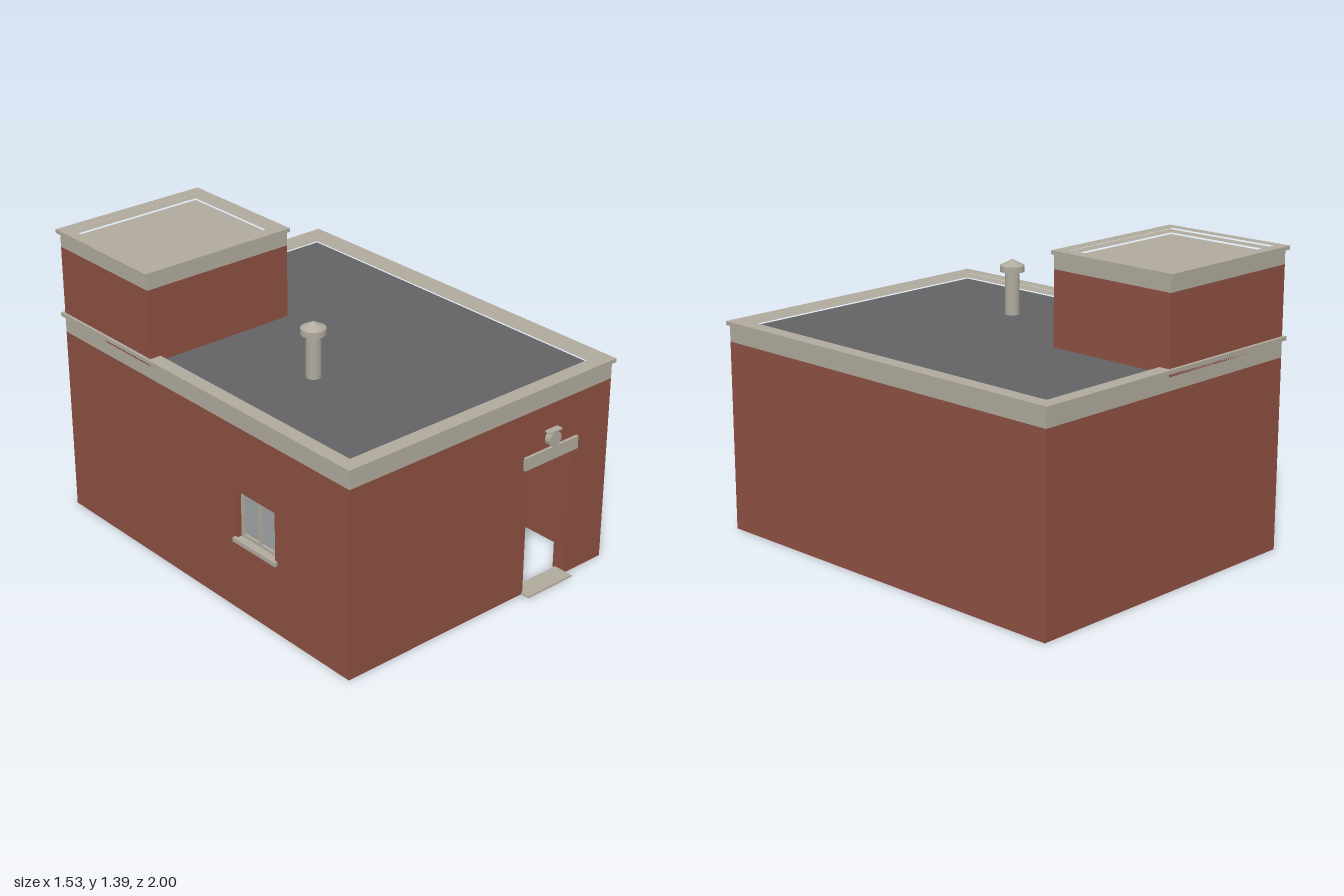
import * as THREE from 'three';

const mat = (name, color) => {
  const m = new THREE.MeshStandardMaterial({ color });
  m.name = name;
  return m;
};

export function createModel() {
  const brick = mat('brick', 0x8d5042);
  const concrete = mat('concrete', 0xb0aa9d);
  const felt = mat('roofing felt', 0x626266);
  const glass = mat('window glass', 0x9fa4a4);
  const model = new THREE.Group();

  const add = (name, geo, m, parent = model) => {
    const mesh = new THREE.Mesh(geo, m);
    mesh.name = name;
    parent.add(mesh);
    return mesh;
  };
  // Box given by its limits on each axis
  const box = (name, m, x0, x1, y0, y1, z0, z1, parent) => {
    const g = new THREE.BoxGeometry(x1 - x0, y1 - y0, z1 - z0);
    g.translate((x0 + x1) / 2, (y0 + y1) / 2, (z0 + z1) / 2);
    return add(name, g, m, parent);
  };
  const rect = (a0, a1, b0, b1) => [[a0, b0], [a1, b0], [a1, b1], [a0, b1]];
  const vecs = pts => pts.map(([a, b]) => new THREE.Vector2(a, b));
  const extrude = (pts, depth, hole) => {
    const s = new THREE.Shape(vecs(pts));
    if (hole) s.holes.push(new THREE.Path(vecs(hole)));
    return new THREE.ExtrudeGeometry(s, { depth, bevelEnabled: false });
  };
  // Plan outline in x and z, raised from y0 to y1
  const plan = (name, m, pts, y0, y1, hole) => {
    const flip = p => p && p.map(([x, z]) => [x, -z]);
    const g = extrude(flip(pts), y1 - y0, flip(hole));
    g.rotateX(-Math.PI / 2).translate(0, y0, 0);
    return add(name, g, m);
  };
  // Rectangular ring: outer limits, inner limits
  const ring = (name, m, o, i, y0, y1) => plan(name, m, rect(...o), y0, y1, rect(...i));

  const X = 0.752, ZB = -0.985, ZF = 0.955, T = 0.07, H = 0.89;
  const TX = 0.015, TZ = -0.34; // stair tower edges
  const inner = [-X + T, X - T, ZB + T, ZF - T];

  // Brick walls with door and window openings
  box('backWall', brick, -X, X, 0, H, ZB, ZB + T);
  box('plainSideWall', brick, X - T, X, 0, H, ZB + T, ZF - T);
  const front = extrude([[-X, 0], [0.257, 0], [0.257, 0.63], [0.523, 0.63], [0.523, 0], [X, 0], [X, H], [-X, H]], T);
  add('frontWall', front.translate(0, 0, ZF - T), brick);
  const wz0 = 0.24, wz1 = 0.49, wy0 = 0.355, wy1 = 0.585;
  const side = extrude(rect(ZB + T, ZF - T, 0, H), T, rect(wz0, wz1, wy0, wy1));
  add('windowSideWall', side.rotateY(-Math.PI / 2).translate(-X + T, 0, 0), brick);

  // Parapet band and coping
  ring('parapetBand', concrete, [-X, X, ZB, ZF], inner, H, 0.967);
  ring('parapetCoping', concrete, [-0.765, 0.765, -1, 0.967], [-0.698, 0.695, -0.933, 0.895], 0.967, 0.985);

  // L-shaped roof, open above the stair core
  const L = [[-X + T, ZF - T], [X - T, ZF - T], [X - T, ZB + T], [TX, ZB + T], [TX, TZ], [-X + T, TZ]];
  plan('roofSlab', concrete, L, 0.9, 0.953);
  plan('roofFelt', felt, L, 0.953, 0.961);

  // Stair core partitions
  const core = 0.055;
  box('corePartitionFront', concrete, -X + T, TX, 0, 0.95, TZ - core, TZ);
  box('corePartitionSide', concrete, TX - core, TX, 0, 0.95, ZB + T, TZ - core);

  // Stair tower
  const tOut = [-X, TX, ZB, TZ], tIn = [-X + core, TX - core, ZB + core, TZ - core];
  ring('towerWalls', brick, tOut, tIn, 0.95, 1.305);
  ring('towerBand', concrete, tOut, tIn, 1.305, 1.37);
  ring('towerCoping', concrete, [-0.765, 0.025, -1, -0.33], [-0.715, -0.03, -0.95, -0.39], 1.37, 1.387);
  box('towerRoof', concrete, ...tIn.slice(0, 2), 1.31, 1.362, ...tIn.slice(2));

  // Doorway lintel and threshold
  box('doorLintel', concrete, 0.227, 0.548, 0.625, 0.685, ZF - 0.02, 0.969);
  box('doorThreshold', concrete, 0.25, 0.523, 0, 0.008, 0.9, 1);

  // Lamp above the door
  const lamp = new THREE.Group();
  lamp.name = 'doorLamp';
  model.add(lamp);
  const body = new THREE.CylinderGeometry(0.036, 0.036, 0.03, 16).rotateX(Math.PI / 2);
  add('lampBody', body.translate(0.387, 0.73, 0.969), concrete, lamp);
  box('lampHood', concrete, 0.35, 0.424, 0.766, 0.773, ZF, 0.987, lamp);

  // Window: sill, frame, mullion and glass
  const win = new THREE.Group();
  win.name = 'window';
  model.add(win);
  const fx0 = -0.73, fx1 = -0.705, f = 0.016, mid = (wz0 + wz1) / 2;
  box('windowSill', concrete, -0.768, -0.7, 0.338, 0.358, wz0 - 0.015, wz1 + 0.015, win);
  for (const z of [wz0, mid - f / 2, wz1 - f]) box('frameUpright', concrete, fx0, fx1, wy0, wy1, z, z + f, win);
  for (const y of [wy0, wy1 - f]) box('frameRail', concrete, fx0, fx1, y, y + f, wz0, wz1, win);
  const pane = new THREE.PlaneGeometry(wz1 - wz0, wy1 - wy0).rotateY(-Math.PI / 2);
  add('windowGlass', pane.translate(-0.718, (wy0 + wy1) / 2, mid), glass, win);

  // Roof vent
  const vent = new THREE.Group();
  vent.name = 'roofVent';
  vent.position.set(-0.3, 0, 0.21);
  model.add(vent);
  add('ventPipe', new THREE.CylinderGeometry(0.034, 0.034, 0.22, 12).translate(0, 1.065, 0), concrete, vent);
  add('ventCap', new THREE.CylinderGeometry(0.057, 0.057, 0.028, 12).translate(0, 1.176, 0), concrete, vent);
  add('ventCone', new THREE.ConeGeometry(0.057, 0.03, 12).translate(0, 1.205, 0), concrete, vent);

  return model;
}
